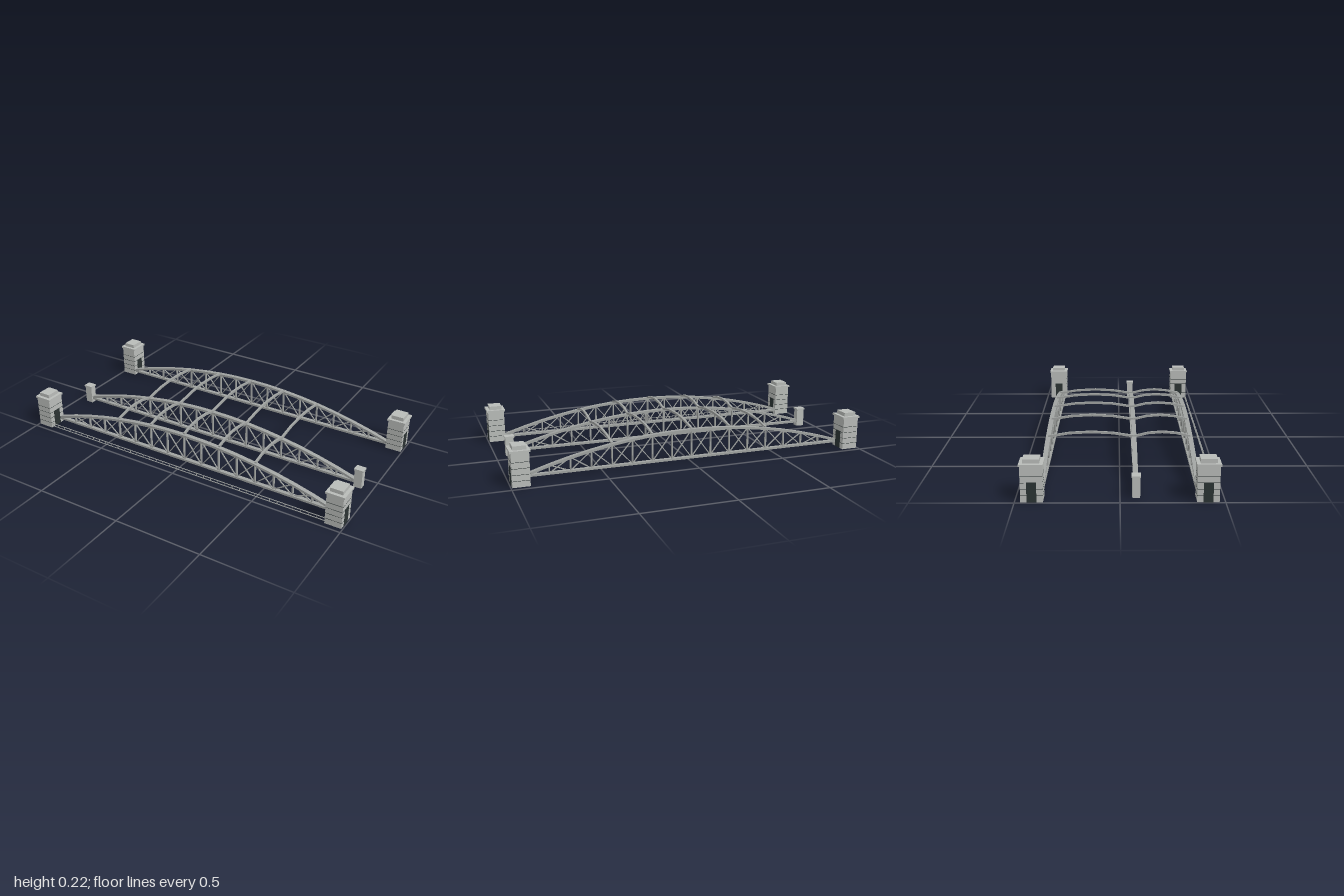
import * as THREE from 'three';

const mat = (name, color) => {
  const m = new THREE.MeshStandardMaterial({ color });
  m.name = name;
  return m;
};

export function createModel() {
  const stone = mat('pale stone', 0xb9bcb9);
  const steel = mat('grey steel', 0xa0a3a1);
  const dark = mat('dark opening', 0x2b3333);

  const model = new THREE.Group();
  model.name = 'archBridge';

  const group = (name, parent) => {
    const g = new THREE.Group();
    g.name = name;
    parent.add(g);
    return g;
  };
  const add = (parent, name, geo, material) => {
    const m = new THREE.Mesh(geo, material);
    m.name = name;
    parent.add(m);
    return m;
  };
  // Box standing on y0 and reaching y1
  const block = (parent, name, material, w, y0, y1, d, x = 0, z = 0) =>
    add(parent, name, new THREE.BoxGeometry(w, y1 - y0, d), material).position.set(x, (y0 + y1) / 2, z);
  // Flat bar between two points of the truss plane
  const bar = (parent, name, x0, y0, x1, y1, thick, depth) => {
    const m = add(parent, name, new THREE.BoxGeometry(Math.hypot(x1 - x0, y1 - y0), thick, depth), steel);
    m.position.set((x0 + x1) / 2, (y0 + y1) / 2, 0);
    m.rotation.z = Math.atan2(y1 - y0, x1 - x0);
  };
  // Band of even height along a line of points, extruded to a depth
  const band = (points, height, depth) => {
    const up = points.map(([u, y]) => new THREE.Vector2(u, y + height / 2));
    const low = points.map(([u, y]) => new THREE.Vector2(u, y - height / 2)).reverse();
    const geo = new THREE.ExtrudeGeometry(new THREE.Shape([...low, ...up]), { depth, bevelEnabled: false });
    return geo.translate(0, 0, -depth / 2);
  };

  const HALF = 0.9, PANELS = 16, STEP = (2 * HALF) / PANELS;
  const BOTTOM = 0.026;
  const archY = (x) => 0.034 + 0.148 * (1 - (x / HALF) ** 2);
  const trussZ = [-0.38, 0.078, 0.378];

  // Three bowstring trusses
  for (const z of trussZ) {
    const truss = group('truss', model);
    truss.position.z = z;
    const arch = [];
    for (let i = 0; i <= PANELS; i++) {
      const x = -HALF + i * STEP;
      arch.push([x, archY(x)]);
    }
    add(truss, 'topChord', band(arch, 0.013, 0.025), steel);
    block(truss, 'bottomChord', steel, 2 * HALF, 0.02, 0.032, 0.022);
    for (let i = 1; i < PANELS; i++) {
      const x = arch[i][0];
      block(truss, 'vertical', steel, 0.007, BOTTOM, arch[i][1], 0.013, x);
      if (i < PANELS - 1) {
        bar(truss, 'diagonal', x, BOTTOM, x + STEP, arch[i + 1][1], 0.005, 0.007);
        bar(truss, 'diagonal', x, arch[i][1], x + STEP, BOTTOM, 0.005, 0.006);
      }
    }
  }

  // Arched cross struts between neighbouring trusses
  for (const i of [-4, -2, 0, 2, 4]) {
    const x = i * STEP;
    for (let s = 0; s < 2; s++) {
      const points = [];
      for (let k = 0; k <= 4; k++) {
        const t = k / 4;
        points.push([
          THREE.MathUtils.lerp(trussZ[s], trussZ[s + 1], t),
          archY(x) + 0.007 + 0.024 * 4 * t * (1 - t),
        ]);
      }
      const geo = band(points, 0.012, 0.012).rotateY(-Math.PI / 2);
      add(model, 'crossStrut', geo, steel).position.x = x;
    }
  }

  for (const sx of [-1, 1]) {
    // Corner towers with a passage running through
    for (const sz of [-1, 1]) {
      const tower = group('tower', model);
      tower.position.set(sx * 0.947, 0, sz * 0.418);
      block(tower, 'towerBody', stone, 0.092, 0, 0.18, 0.107);
      block(tower, 'towerCornice', stone, 0.106, 0.18, 0.191, 0.116);
      block(tower, 'towerCap', stone, 0.07, 0.191, 0.212, 0.08);
      block(tower, 'doorway', dark, 0.0945, -0.0005, 0.1, 0.047);
      for (const y of [0.033, 0.065, 0.098, 0.131])
        block(tower, 'stoneJoint', dark, 0.0932, y - 0.001, y + 0.001, 0.1082);
    }
    // Small piers of the middle truss
    const pier = group('pier', model);
    pier.position.set(sx * 0.92, 0, trussZ[1]);
    block(pier, 'pierBody', stone, 0.046, 0, 0.104, 0.038);
    block(pier, 'pierCap', stone, 0.054, 0.104, 0.113, 0.045);
  }

  // Walkway railing along the front
  const railing = group('railing', model);
  railing.position.z = 0.463;
  for (const y of [0.009, 0.026])
    block(railing, 'rail', steel, 2 * HALF, y - 0.0015, y + 0.0015, 0.004);
  for (let i = 0; i <= 40; i++)
    block(railing, 'railPost', steel, 0.003, 0.008, 0.027, 0.003, -HALF + (i * 2 * HALF) / 40);

  return model;
}
